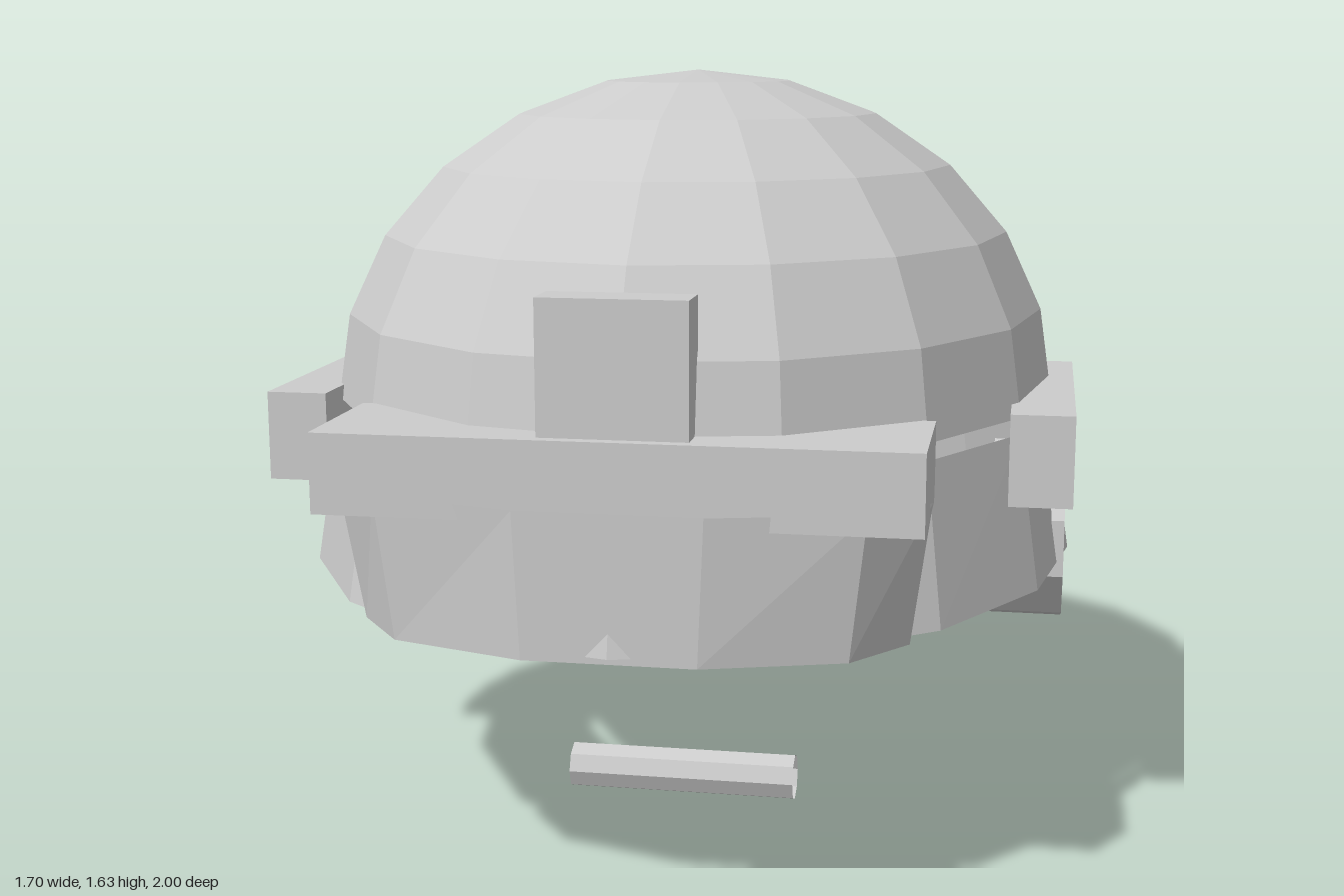
import * as THREE from 'three';

export function createModel() {
  const model = new THREE.Group();
  const grey = new THREE.MeshStandardMaterial({ color: 0xcccccc, flatShading: true, side: THREE.DoubleSide });
  grey.name = 'plain grey';

  function add(name, geometry) {
    const mesh = new THREE.Mesh(geometry, grey);
    mesh.name = name;
    model.add(mesh);
    return mesh;
  }

  // Box given by its lower and upper limits on each axis
  function box(name, [x0, x1], [y0, y1], [z0, z1]) {
    add(name, new THREE.BoxGeometry(x1 - x0, y1 - y0, z1 - z0))
      .position.set((x0 + x1) / 2, (y0 + y1) / 2, (z0 + z1) / 2);
  }

  // Open elliptical wall between two levels { y, rx, rz, z }
  function wall(name, bottom, top, sides, start = 0, sweep = Math.PI * 2) {
    const geometry = new THREE.CylinderGeometry(1, 1, 1, sides, 1, true, start, sweep);
    const p = geometry.attributes.position;
    for (let i = 0; i < p.count; i++) {
      const level = p.getY(i) > 0 ? top : bottom;
      p.setXYZ(i, p.getX(i) * level.rx, level.y, p.getZ(i) * level.rz + level.z);
    }
    geometry.computeVertexNormals();
    add(name, geometry);
  }

  // Open tube lying along x
  function crossTube(name, radius, length, sides, x, y, z) {
    const geometry = new THREE.CylinderGeometry(radius, radius, length, sides, 1, true);
    // turn a corner of the polygon to the bottom
    geometry.rotateZ(Math.PI / 2).rotateX(Math.PI / 2);
    add(name, geometry).position.set(x, y, z);
  }

  // Helmet shell: faceted half ellipsoid over a flared band, with a thin gap between
  const dome = new THREE.SphereGeometry(1, 16, 6, 0, Math.PI * 2, 0, Math.PI / 2);
  dome.scale(0.8, 0.705, 0.93);
  add('dome', dome).position.set(0, 0.928, -0.01);
  wall('lowerBand', { y: 0.57, rx: 0.85, rz: 1, z: 0 }, { y: 0.895, rx: 0.8, rz: 0.935, z: -0.003 }, 16);

  // Brow bar with the front mount standing on it
  box('browBar', [-0.58, 0.58], [0.815, 0.973], [0.647, 0.963]);
  box('frontMount', [-0.145, 0.145], [0.96, 1.235], [0.842, 0.938]);

  // Five-panel visor hanging under the brow bar
  wall('visor', { y: 0.557, rx: 0.545, rz: 0.235, z: 0.766 }, { y: 0.845, rx: 0.585, rz: 0.203, z: 0.8 },
    5, -Math.PI / 2, Math.PI);

  // Side rails and ear rings
  for (const side of [-1, 1]) {
    const name = side > 0 ? 'left' : 'right';
    box(name + 'SideRail', side > 0 ? [0.72, 0.85] : [-0.85, -0.72], [0.77, 0.96], [-0.22, 0.485]);
    crossTube(name + 'EarRing', 0.205, 0.16, 10, side * 0.76, 0.6, -0.05);
  }

  // Chin bar
  crossTube('chinBar', 0.052, 0.514, 8, 0, 0.052, 0.19);

  return model;
}
